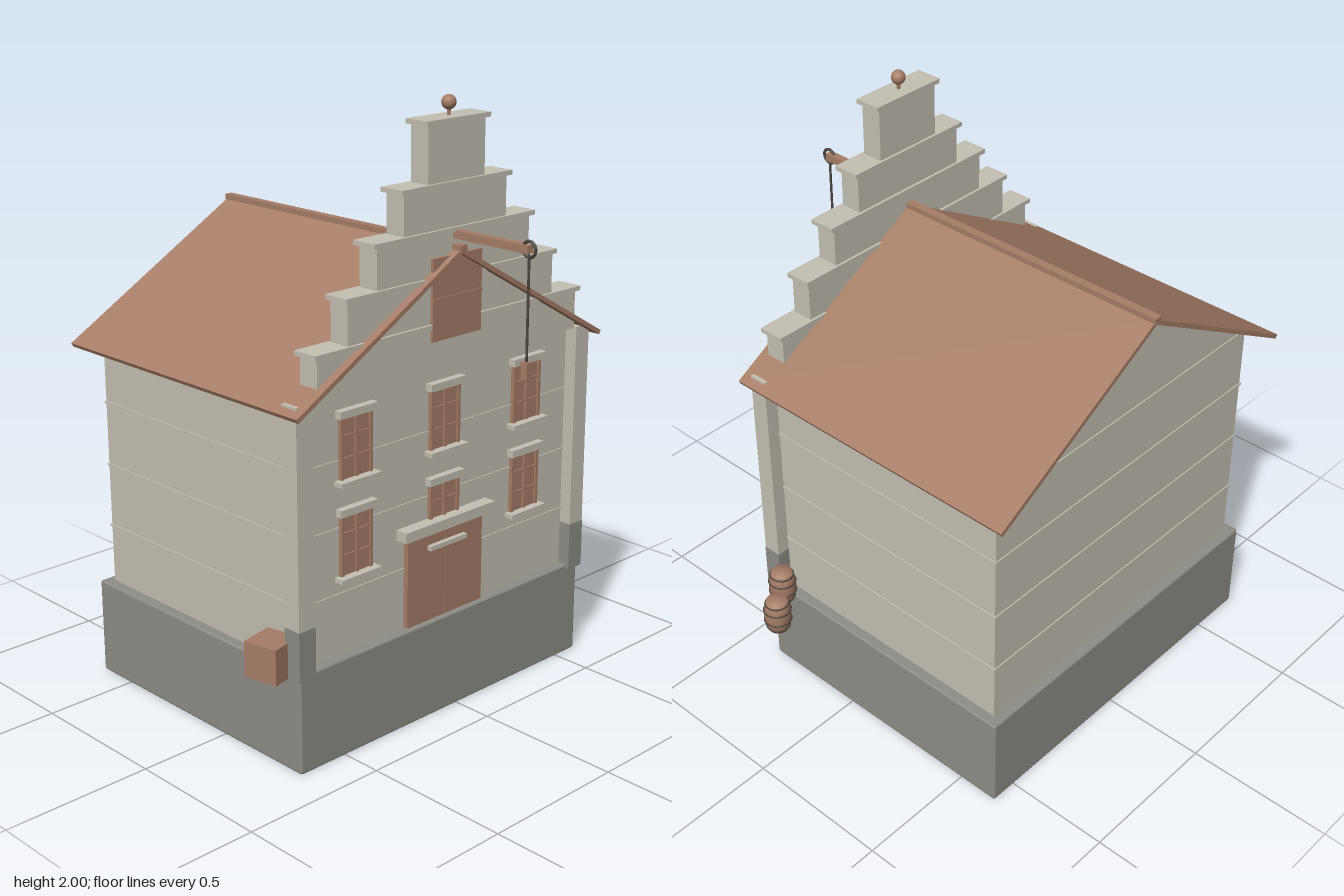
import * as THREE from 'three';
import { RoundedBoxGeometry } from 'three/addons/geometries/RoundedBoxGeometry.js';

const material = (name, color) => {
  const m = new THREE.MeshStandardMaterial({ color });
  m.name = name;
  return m;
};

export function createModel() {
  const wall = material('pale plaster', 0xc4c0b3);
  const stone = material('grey stone', 0x8e8d87);
  const wood = material('brown wood and tile', 0xa67d67);
  const iron = material('dark iron', 0x4d4540);

  const model = new THREE.Group();
  model.name = 'steppedGableHouse';
  // Everything symmetrical about the ridge sits in this group
  const house = new THREE.Group();
  house.name = 'house';
  house.position.x = -0.045;
  model.add(house);

  const add = (parent, name, geometry, mat, x = 0, y = 0, z = 0) => {
    const mesh = new THREE.Mesh(geometry, mat);
    mesh.name = name;
    mesh.position.set(x, y, z);
    parent.add(mesh);
    return mesh;
  };
  // Box given by centre x, bottom and top y, back and front z
  const slab = (parent, name, mat, x, w, y0, y1, z0, z1) =>
    add(parent, name, new THREE.BoxGeometry(w, y1 - y0, z1 - z0), mat, x, (y0 + y1) / 2, (z0 + z1) / 2);
  const prism = (points, depth) => new THREE.ExtrudeGeometry(
    new THREE.Shape(points.map(([x, y]) => new THREE.Vector2(x, y))), { depth, bevelEnabled: false });

  // Foundation and walls
  add(house, 'foundation', new RoundedBoxGeometry(1.28, 0.33, 1.01, 1, 0.008), stone, 0, 0.165, -0.14);
  add(house, 'walls', prism([[-0.605, 0.32], [0.605, 0.32], [0.605, 1.18], [0, 1.527], [-0.605, 1.18]], 0.94),
    wall, 0, 0, -0.61);
  for (const y of [0.53, 0.745, 0.96, 1.175])
    slab(house, 'wallCourse', wall, 0, 1.218, y - 0.004, y + 0.004, -0.614, 0.334);

  // Corner pilasters with stone feet
  for (const side of [-1, 1]) {
    slab(house, 'pilasterFoot', stone, side * 0.618, 0.066, 0.315, 0.48, 0.31, 0.375);
    slab(house, 'pilaster', wall, side * 0.618, 0.064, 0.48, 1.18, 0.311, 0.374);
  }

  // Roof and ridge
  add(house, 'roof', prism([[0, 1.545], [-0.675, 1.158], [-0.668, 1.145], [0, 1.528], [0.668, 1.145], [0.675, 1.158]], 1.095),
    wood, 0, 0, -0.69);
  slab(house, 'ridge', wood, 0, 0.028, 1.535, 1.555, -0.695, 0.41);

  // Stepped gable: half width of block, half width of cap, top
  let bottom = 1.18;
  for (const [block, cap, top] of [[0.57, 0.585, 1.322], [0.45, 0.462, 1.466], [0.332, 0.35, 1.608],
    [0.222, 0.238, 1.749], [0.122, 0.137, 1.938]]) {
    slab(house, 'gableStep', wall, 0, block * 2, bottom, top - 0.015, 0.304, 0.376);
    slab(house, 'gableCap', wall, 0, cap * 2, top - 0.015, top, 0.295, 0.385);
    bottom = top;
  }
  add(house, 'finial', new THREE.SphereGeometry(0.023, 16, 12), wood, 0, 1.977, 0.34);
  slab(house, 'finialPin', wood, 0, 0.008, 1.935, 1.96, 0.336, 0.344);

  // Windows
  for (const y of [0.585, 0.895]) {
    for (const x of [-0.382, 0, 0.382]) {
      const win = new THREE.Group();
      win.name = 'window';
      win.position.set(x, y, 0);
      house.add(win);
      slab(win, 'pane', wood, 0, 0.13, 0, 0.21, 0.328, 0.337);
      for (const s of [-1, 0, 1])
        slab(win, 'upright', wood, s * 0.0595, 0.011, 0.005, 0.205, 0.337, 0.344);
      for (const h of [0.07, 0.14])
        slab(win, 'crossbar', wood, 0, 0.13, h - 0.004, h + 0.004, 0.337, 0.342);
      slab(win, 'lintel', wall, 0, 0.152, 0.2, 0.224, 0.325, 0.355);
      slab(win, 'sill', wall, 0, 0.164, -0.011, 0.004, 0.325, 0.365);
    }
  }

  // Double door with hood
  for (const side of [-1, 1])
    slab(house, 'doorLeaf', wood, side * 0.0855, 0.169, 0.327, 0.635, 0.325, 0.348);
  slab(house, 'doorBar', wall, 0, 0.16, 0.572, 0.586, 0.34, 0.36);
  slab(house, 'doorHood', wall, 0, 0.405, 0.635, 0.67, 0.325, 0.374);

  // Loft hatch
  slab(house, 'loftHatch', wood, 0, 0.214, 1.267, 1.525, 0.37, 0.386);
  slab(house, 'hatchRail', wood, 0, 0.214, 1.39, 1.402, 0.386, 0.39);

  // Hoist beam, pulley, rope and weight
  slab(house, 'hoistBeam', wood, 0, 0.026, 1.573, 1.598, 0.33, 0.672);
  const pulley = add(house, 'pulley', new THREE.TorusGeometry(0.024, 0.005, 8, 24), iron, 0, 1.585, 0.668);
  pulley.rotation.y = Math.PI / 2;
  add(house, 'rope', new THREE.CylinderGeometry(0.004, 0.004, 0.33, 8), iron, 0, 1.405, 0.668);
  slab(house, 'hoistWeight', wood, 0, 0.024, 1.193, 1.245, 0.656, 0.68);

  // Crate
  const crate = add(model, 'crate', new THREE.BoxGeometry(0.118, 0.117, 0.118), wood, -0.709, 0.373, 0.265);
  crate.rotation.y = 0.21;

  // Barrels with hoops
  const profile = [[0, 0], [0.034, 0], [0.042, 0.025], [0.046, 0.06], [0.042, 0.095], [0.034, 0.12], [0, 0.12]]
    .map(([r, y]) => new THREE.Vector2(r, y));
  for (const [x, y, z] of [[0.725, 0.313, 0.195], [0.624, 0.32, 0.28]]) {
    const barrel = new THREE.Group();
    barrel.name = 'barrel';
    barrel.position.set(x, y, z);
    model.add(barrel);
    add(barrel, 'staves', new THREE.LatheGeometry(profile, 18), wood);
    for (const [r, h] of [[0.0385, 0.013], [0.0445, 0.04], [0.0445, 0.08], [0.0385, 0.107]]) {
      const hoop = add(barrel, 'hoop', new THREE.TorusGeometry(r, 0.003, 6, 20), iron, 0, h, 0);
      hoop.rotation.x = Math.PI / 2;
    }
  }
  return model;
}
